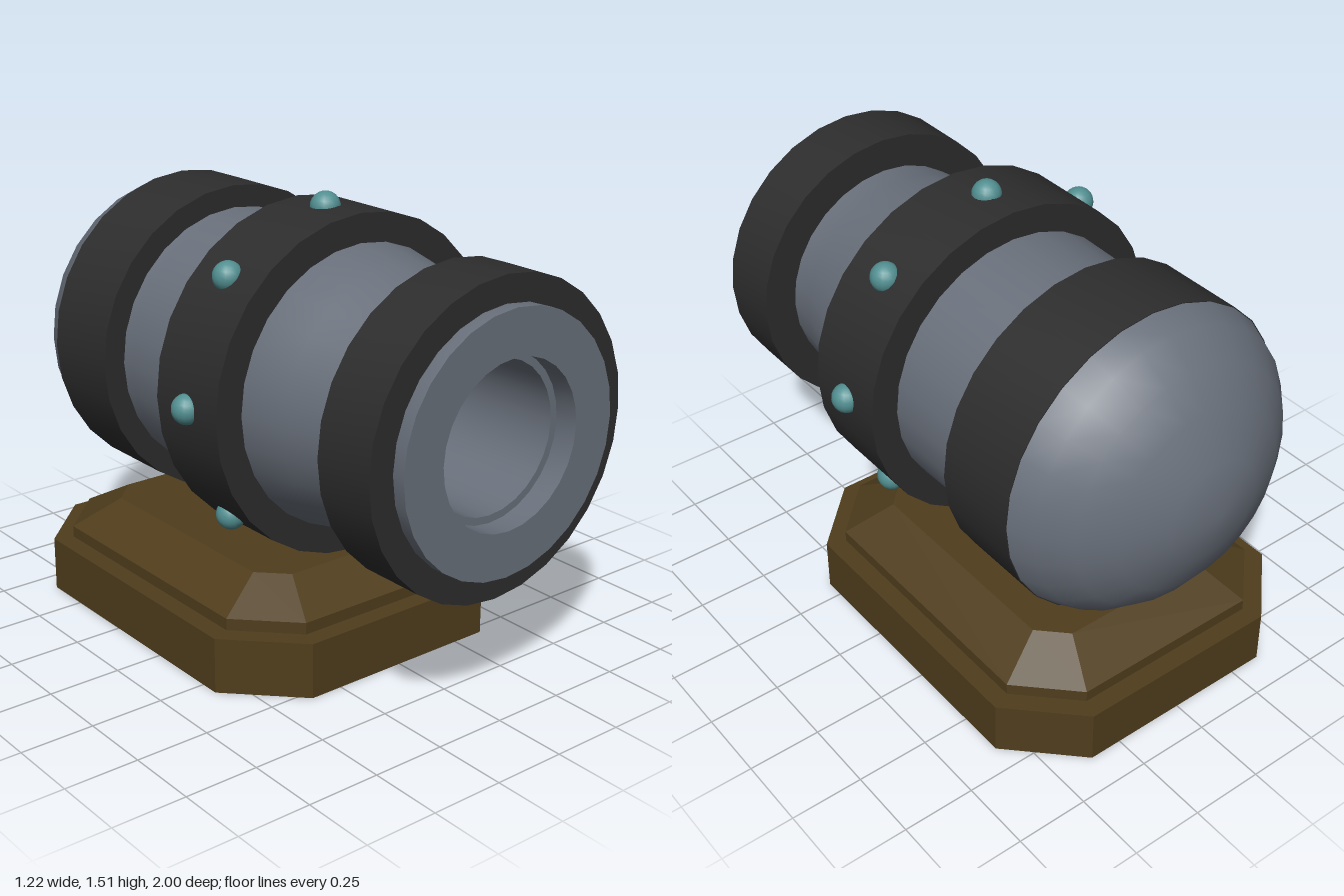
import * as THREE from 'three';
import { toCreasedNormals } from 'three/addons/utils/BufferGeometryUtils.js';

const AXIS_Y = 0.905; // height of the barrel axis
const SIDES = 28;
const BASE_Z = -0.172; // centre of base and post

const steel = new THREE.MeshStandardMaterial({ color: 0x69707b });
const iron = new THREE.MeshStandardMaterial({ color: 0x2d2d2d });
const wood = new THREE.MeshStandardMaterial({ color: 0x4f3d1c });
const teal = new THREE.MeshStandardMaterial({ color: 0x528f91 });

function addMesh(parent, name, geometry, material) {
  const mesh = new THREE.Mesh(geometry, material);
  mesh.name = name;
  parent.add(mesh);
  return mesh;
}

// Turned part about the z axis from [radius, z] points, back to front on the outside
function turned(profile) {
  const points = profile.map(([r, z]) => new THREE.Vector2(r, z));
  const geometry = new THREE.LatheGeometry(points, SIDES);
  geometry.rotateX(Math.PI / 2);
  return toCreasedNormals(geometry, 0.6);
}

// Rectangle with cut corners, seen from above
function octagon([halfX, halfZ, cut, y]) {
  const a = halfX - cut, b = halfZ - cut;
  return [
    [halfX, -b], [halfX, b], [a, halfZ], [-a, halfZ],
    [-halfX, b], [-halfX, -b], [-a, -halfZ], [a, -halfZ],
  ].map(([x, z]) => [x, y, z]);
}

// Stack of octagons, from bottom to top, closed at both ends
function loft(sections) {
  const loops = sections.map(octagon);
  const positions = [];
  const triangle = (...corners) => corners.forEach((c) => positions.push(...c));
  for (let s = 0; s < loops.length - 1; s++) {
    for (let i = 0; i < 8; i++) {
      const j = (i + 1) % 8;
      const low = loops[s], high = loops[s + 1];
      triangle(low[i], high[i], high[j]);
      triangle(low[i], high[j], low[j]);
    }
  }
  const bottom = loops[0], top = loops[loops.length - 1];
  for (let i = 1; i < 7; i++) {
    triangle(bottom[0], bottom[i], bottom[i + 1]);
    triangle(top[0], top[i + 1], top[i]);
  }
  const geometry = new THREE.BufferGeometry();
  geometry.setAttribute('position', new THREE.Float32BufferAttribute(positions, 3));
  geometry.computeVertexNormals();
  return geometry;
}

export function createModel() {
  const model = new THREE.Group();
  model.name = 'cannon';

  // Base: plain slab with a bevelled slab on top
  const base = new THREE.Group();
  base.name = 'base';
  base.position.z = BASE_Z;
  model.add(base);
  addMesh(base, 'lowerSlab', loft([
    [0.585, 0.708, 0.22, 0], [0.585, 0.708, 0.22, 0.19],
  ]), wood);
  addMesh(base, 'upperSlab', loft([
    [0.52, 0.643, 0.18, 0.18], [0.52, 0.643, 0.18, 0.23], [0.36, 0.483, 0.09, 0.32],
  ]), wood);
  const post = addMesh(base, 'post', new THREE.CylinderGeometry(0.16, 0.16, 0.3, SIDES), wood);
  post.position.y = 0.43;

  // Barrel: domed back, waisted neck, flat muzzle and stepped bore
  const barrel = new THREE.Group();
  barrel.name = 'barrel';
  barrel.position.y = AXIS_Y;
  model.add(barrel);
  addMesh(barrel, 'barrelBody', turned([
    [0, -1], [0.17, -0.965], [0.32, -0.9], [0.42, -0.83], [0.5, -0.74], [0.535, -0.655],
    [0.46, -0.5], [0.462, -0.3], [0.468, 0], [0.47, 0.31],
    [0.435, 0.48], [0.405, 0.62], [0.39, 0.74], [0.4, 0.85], [0.42, 0.95], [0.42, 1],
    [0.27, 1], [0.27, 0.92], [0.245, 0.92], [0.24, 0.2], [0, 0.2],
  ]), steel);

  // Iron bands: [name, outer radius, back z, front z]
  const bands = [
    ['muzzleBand', 0.508, 0.73, 0.955],
    ['middleBand', 0.565, 0, 0.315],
    ['rearBand', 0.538, -0.655, -0.35],
  ];
  for (const [name, radius, back, front] of bands) {
    addMesh(barrel, name, turned([
      [0.38, back], [radius, back], [radius, front], [0.38, front],
    ]), iron);
  }

  // Studs around the middle band, none underneath
  const studGeometry = new THREE.SphereGeometry(0.05, 16, 12);
  for (let i = -1; i <= 5; i++) {
    const angle = (i * Math.PI) / 4 + (i < 3 ? 0.02 : 0);
    const stud = addMesh(barrel, 'stud', studGeometry, teal);
    stud.position.set(0.558 * Math.cos(angle), 0.558 * Math.sin(angle), 0.153);
  }

  return model;
}
